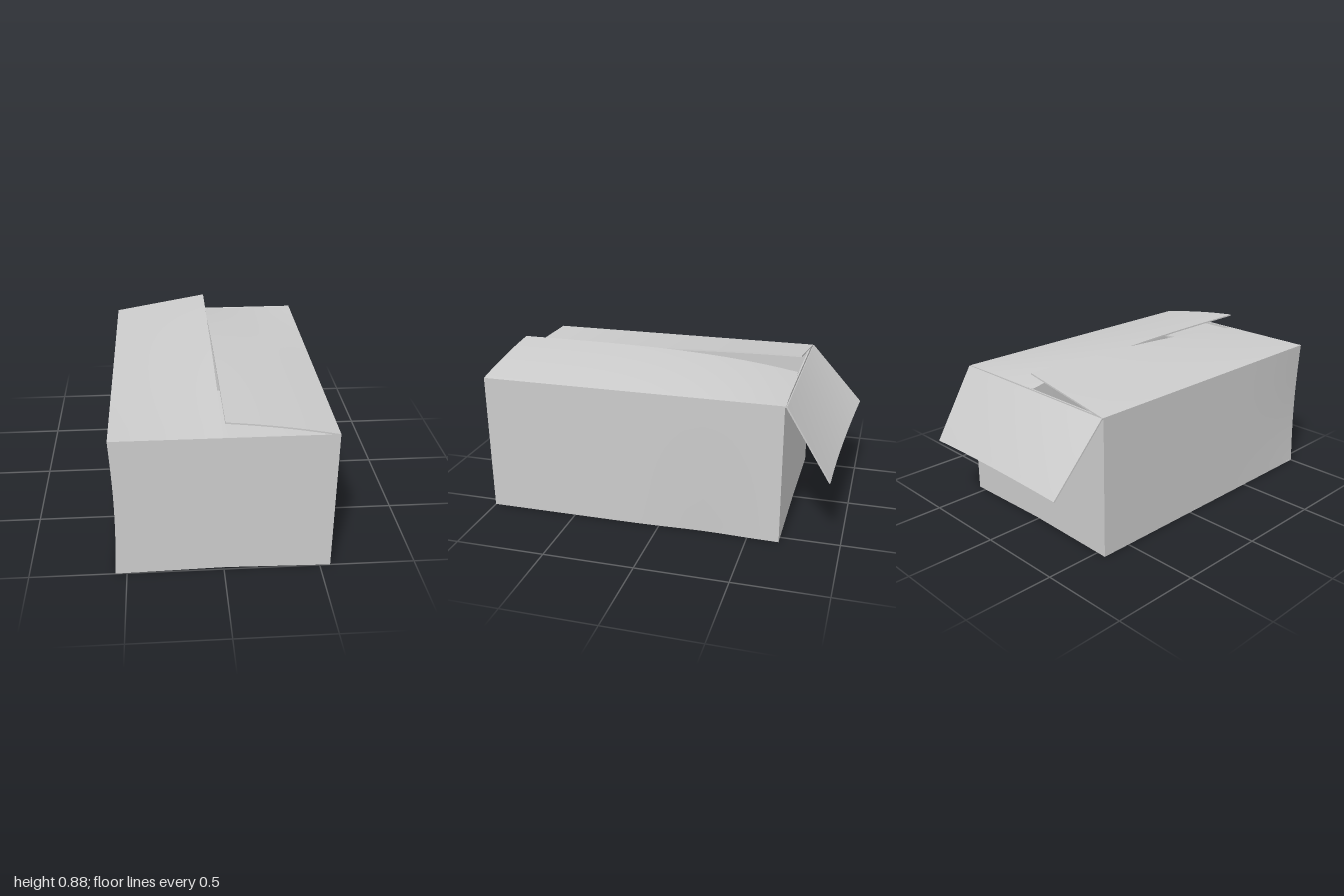
import * as THREE from 'three';

const HEIGHT = 0.785, HALF = 0.555, FRONT = 1, BACK = -0.675, CARD = 0.008;
const { lerp } = THREE.MathUtils;

// A sheet of card: the outer face follows at(u, v), the thickness goes inwards.
// The outward side is dv x du.
function sheet(name, at, material) {
  const geo = new THREE.BoxGeometry(1, 1, 1, 16, 1, 16);
  const pos = geo.attributes.position;
  const e = 0.01;
  for (let i = 0; i < pos.count; i++) {
    const u = pos.getX(i) + 0.5, v = pos.getZ(i) + 0.5, depth = 0.5 - pos.getY(i);
    const u0 = Math.max(u - e, 0), u1 = Math.min(u + e, 1);
    const v0 = Math.max(v - e, 0), v1 = Math.min(v + e, 1);
    const du = at(u1, v).sub(at(u0, v));
    const dv = at(u, v1).sub(at(u, v0));
    const normal = dv.cross(du).normalize();
    const p = at(u, v).addScaledVector(normal, -CARD * depth);
    pos.setXYZ(i, p.x, p.y, p.z);
  }
  geo.computeVertexNormals();
  const mesh = new THREE.Mesh(geo, material);
  mesh.name = name;
  return mesh;
}

export function createModel() {
  const group = new THREE.Group();
  group.name = 'cardboardBox';
  const material = new THREE.MeshStandardMaterial({ color: 0xcccccc, side: THREE.DoubleSide });
  const P = (x, y, z) => new THREE.Vector3(x, y, z);
  const add = (name, at) => group.add(sheet(name, at, material));

  // Slight dents in the worn card
  const zAt = t => lerp(BACK, FRONT, t);
  const floorY = x => 0.012 * Math.max(0, 1 - Math.abs(x) / HALF);
  const minusX = (h, t) => -0.558 + 0.013 * Math.sin(Math.PI * h) * t ** 6;
  const plusX = (h, t) => HALF - 0.012 * (1 - h) ** 2 * Math.exp(-(((t - 0.25) / 0.14) ** 2));
  const across = (s, h, t) => lerp(minusX(h, t), plusX(h, t), s);

  // Four walls and the floor
  const endWall = (s, h, t) => {
    const x = across(s, h, t);
    return P(x, lerp(floorY(x), HEIGHT, h), zAt(t));
  };
  add('frontWall', (u, v) => endWall(v, u, 1));
  add('backWall', (u, v) => endWall(u, v, 0));
  add('leftWall', (u, v) => P(plusX(v, u), HEIGHT * v, zAt(u)));
  add('rightWall', (u, v) => P(minusX(u, v), HEIGHT * u, zAt(v)));
  add('floor', (u, v) => {
    const x = across(v, 0, u);
    return P(x, floorY(x), zAt(u));
  });

  // Long top flaps, twisted so that each lies over the other at one end
  add('leftTopFlap', (u, v) => {
    const rise = 0.085 * (1 - v ** 3.5);
    const z = lerp(FRONT, -0.68 + 0.015 * u, v);
    return P(HALF * (1 - u), HEIGHT + rise * u * (1.4 - 0.4 * u), z);
  });
  add('rightTopFlap', (u, v) => {
    const rise = 0.095 * (1 - v * v);
    return P(lerp(-0.558, -0.008, u), HEIGHT + rise * u, lerp(-0.68, FRONT, v));
  });

  // Short front flap tucked under the long flaps
  add('frontInnerFlap', (u, v) => {
    const x = lerp(-0.54, 0.54, u);
    const lift = 0.03 * (1 - v) * (1 - Math.abs(x) / 0.54);
    return P(x, 0.772 + lift, lerp(0.54, 0.99, v));
  });

  // Short back flap hanging open, bent further out at one end
  add('backFlap', (u, v) => {
    const x = lerp(HALF, -0.558 + 0.008 * v, u);
    const endY = 0.388 + 0.055 * u, endZ = -0.928 - 0.07 * u ** 1.5;
    return P(x, lerp(HEIGHT, endY, v), lerp(-0.686, endZ, v));
  });

  return group;
}
